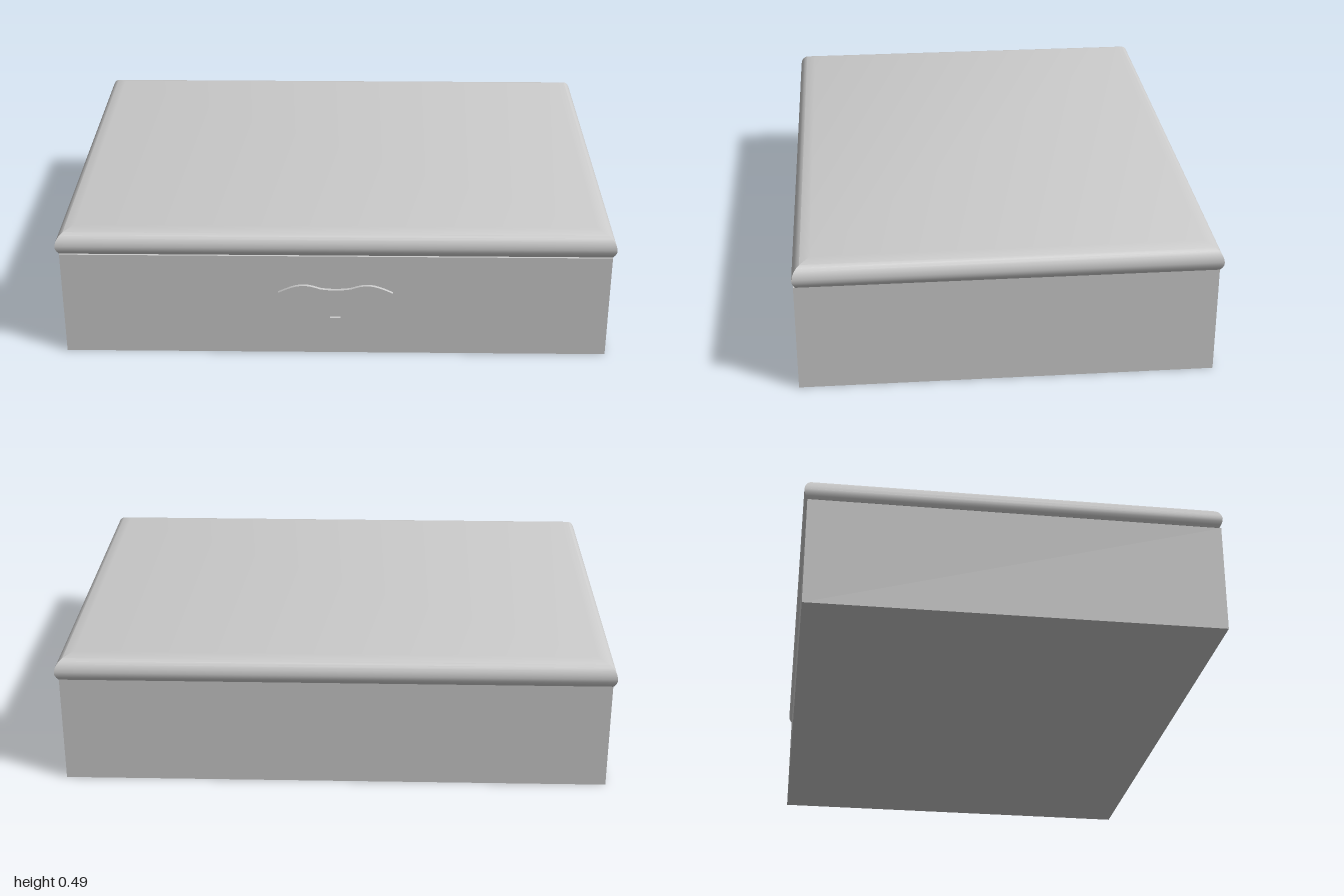
import * as THREE from 'three';
import { toCreasedNormals } from 'three/addons/utils/BufferGeometryUtils.js';

const material = new THREE.MeshStandardMaterial({ color: 0xcccccc });

function addPart(parent, name, geometry, x = 0, y = 0, z = 0) {
  const mesh = new THREE.Mesh(geometry, material);
  mesh.name = name;
  mesh.position.set(x, y, z);
  parent.add(mesh);
  return mesh;
}

// Stacked rectangles with mitred corners; profile holds [inset, y] from bottom to top
function rectangularLoft(halfX, halfZ, profile) {
  const corners = [[1, 1], [1, -1], [-1, -1], [-1, 1]];
  const positions = [];
  const indices = [];
  for (const [inset, y] of profile) {
    for (const [sx, sz] of corners) positions.push(sx * (halfX - inset), y, sz * (halfZ - inset));
  }
  for (let r = 0; r < profile.length - 1; r++) {
    for (let i = 0; i < 4; i++) {
      const a = r * 4 + i, b = r * 4 + (i + 1) % 4;
      indices.push(a, b, b + 4, a, b + 4, a + 4);
    }
  }
  // Close the top and bottom
  const t = (profile.length - 1) * 4;
  indices.push(t, t + 1, t + 2, t, t + 2, t + 3, 0, 2, 1, 0, 3, 2);
  const geometry = new THREE.BufferGeometry();
  geometry.setAttribute('position', new THREE.Float32BufferAttribute(positions, 3));
  geometry.setIndex(indices);
  return toCreasedNormals(geometry, THREE.MathUtils.degToRad(32));
}

// Bow-tie plate with wavy edges and a slot through the middle
function claspGeometry() {
  const shape = new THREE.Shape();
  shape.moveTo(-0.207, -0.055);
  shape.bezierCurveTo(-0.13, -0.093, -0.11, -0.09, -0.055, -0.071);
  shape.quadraticCurveTo(0, -0.062, 0.055, -0.071);
  shape.bezierCurveTo(0.11, -0.09, 0.13, -0.093, 0.207, -0.055);
  shape.lineTo(0.207, 0.055);
  shape.bezierCurveTo(0.13, 0.093, 0.11, 0.09, 0.055, 0.071);
  shape.quadraticCurveTo(0, 0.062, -0.055, 0.071);
  shape.bezierCurveTo(-0.11, 0.09, -0.13, 0.093, -0.207, 0.055);
  shape.closePath();
  const slot = new THREE.Path();
  slot.moveTo(-0.019, -0.049);
  slot.lineTo(-0.019, 0.049);
  slot.lineTo(0.019, 0.049);
  slot.lineTo(0.019, -0.049);
  slot.closePath();
  shape.holes.push(slot);
  const geometry = new THREE.ExtrudeGeometry(shape, { depth: 0.014, bevelEnabled: false, curveSegments: 8 });
  return toCreasedNormals(geometry, THREE.MathUtils.degToRad(35));
}

export function createModel() {
  const model = new THREE.Group();
  model.name = 'box';

  // Body
  addPart(model, 'body', new THREE.BoxGeometry(1.974, 0.4, 1.466), 0, 0.2, 0);

  // Lid with a rolled rim
  const lidProfile = [
    [0.012, 0.4], [0.006, 0.41], [0.001, 0.422], [0, 0.434], [0.003, 0.448],
    [0.01, 0.462], [0.018, 0.471], [0.028, 0.478], [0.064, 0.49],
  ];
  addPart(model, 'lid', rectangularLoft(1, 0.741, lidProfile), 0, 0, -0.004);

  // Front clasp
  addPart(model, 'clasp', claspGeometry(), 0, 0.201, 0.731);
  return model;
}
